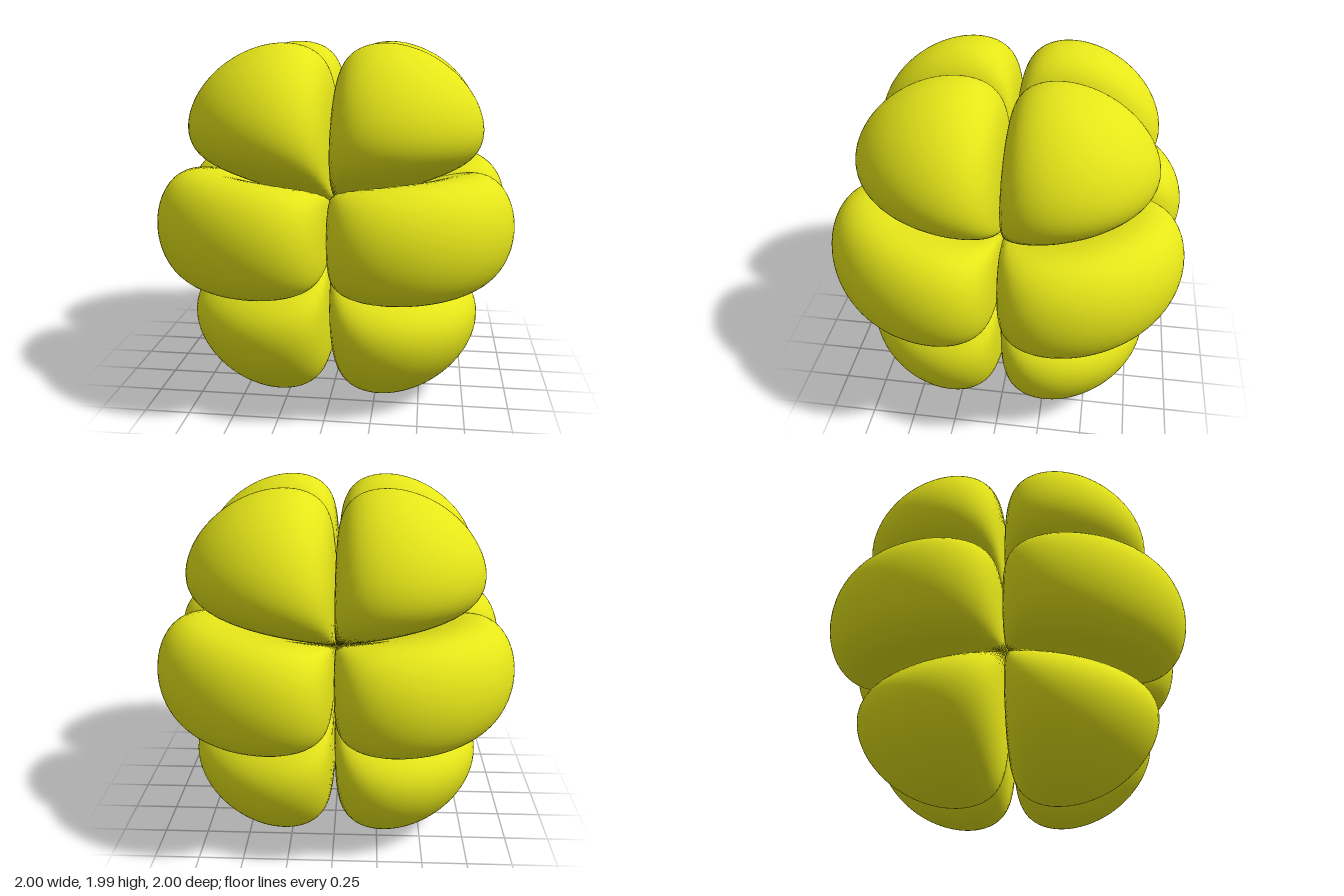
import * as THREE from 'three';

// Level surface of a twelve-lobed field: x z (6y^2 - x^2 - z^2) with exponential falloff
const R0 = 0.296;      // radius where the field peaks
const LEVEL = 0.0034;  // value of the field on the surface

function field(x, y, z, sign) {
  const r = Math.hypot(x, y, z);
  const angular = 2 * x * z * (6 * y * y - x * x - z * z) * sign;
  return angular / R0 ** 4 * Math.exp(4 * (1 - r / R0));
}

// Pushes the points of a sphere outward from the lobe's centre until they meet the surface
function lobeGeometry(centre, sign) {
  const geometry = new THREE.SphereGeometry(1, 80, 60);
  const pos = geometry.attributes.position;
  const nor = geometry.attributes.normal;
  const dir = new THREE.Vector3(), p = new THREE.Vector3(), n = new THREE.Vector3();
  const inside = (v) => v.x > 0 && v.z > 0 && (sign < 0 || v.y > 0)
    && field(v.x, v.y, v.z, sign) > LEVEL;
  const e = 1e-5;
  for (let i = 0; i < pos.count; i++) {
    dir.fromBufferAttribute(pos, i).normalize();
    let lo = 0, hi = 1.6;
    for (let k = 0; k < 32; k++) {
      const mid = (lo + hi) / 2;
      p.copy(centre).addScaledVector(dir, mid);
      if (inside(p)) lo = mid; else hi = mid;
    }
    p.copy(centre).addScaledVector(dir, lo);
    pos.setXYZ(i, p.x, p.y, p.z);
    // Smooth normal from the slope of the field
    n.set(
      field(p.x - e, p.y, p.z, sign) - field(p.x + e, p.y, p.z, sign),
      field(p.x, p.y - e, p.z, sign) - field(p.x, p.y + e, p.z, sign),
      field(p.x, p.y, p.z - e, sign) - field(p.x, p.y, p.z + e, sign)
    ).normalize();
    nor.setXYZ(i, n.x, n.y, n.z);
  }
  return geometry;
}

export function createModel() {
  const model = new THREE.Group();
  model.name = 'lobedCluster';
  const material = new THREE.MeshStandardMaterial({ color: 0xe6e619 });

  const capLobe = lobeGeometry(new THREE.Vector3(0.26, 0.42, 0.26), 1);
  const beltLobe = lobeGeometry(new THREE.Vector3(0.4, 0, 0.4), -1);

  // Three tiers of four lobes, a quarter turn apart
  const tiers = [
    { name: 'upperLobe', geometry: capLobe, flip: 0 },
    { name: 'middleLobe', geometry: beltLobe, flip: 0 },
    { name: 'lowerLobe', geometry: capLobe, flip: Math.PI },
  ];
  for (const { name, geometry, flip } of tiers) {
    const tier = new THREE.Group();
    tier.name = name + 'Tier';
    tier.position.y = 0.995;
    tier.rotation.x = flip;
    for (let i = 0; i < 4; i++) {
      const lobe = new THREE.Mesh(geometry, material);
      lobe.name = name + (i + 1);
      lobe.rotation.y = i * Math.PI / 2;
      tier.add(lobe);
    }
    model.add(tier);
  }
  return model;
}
